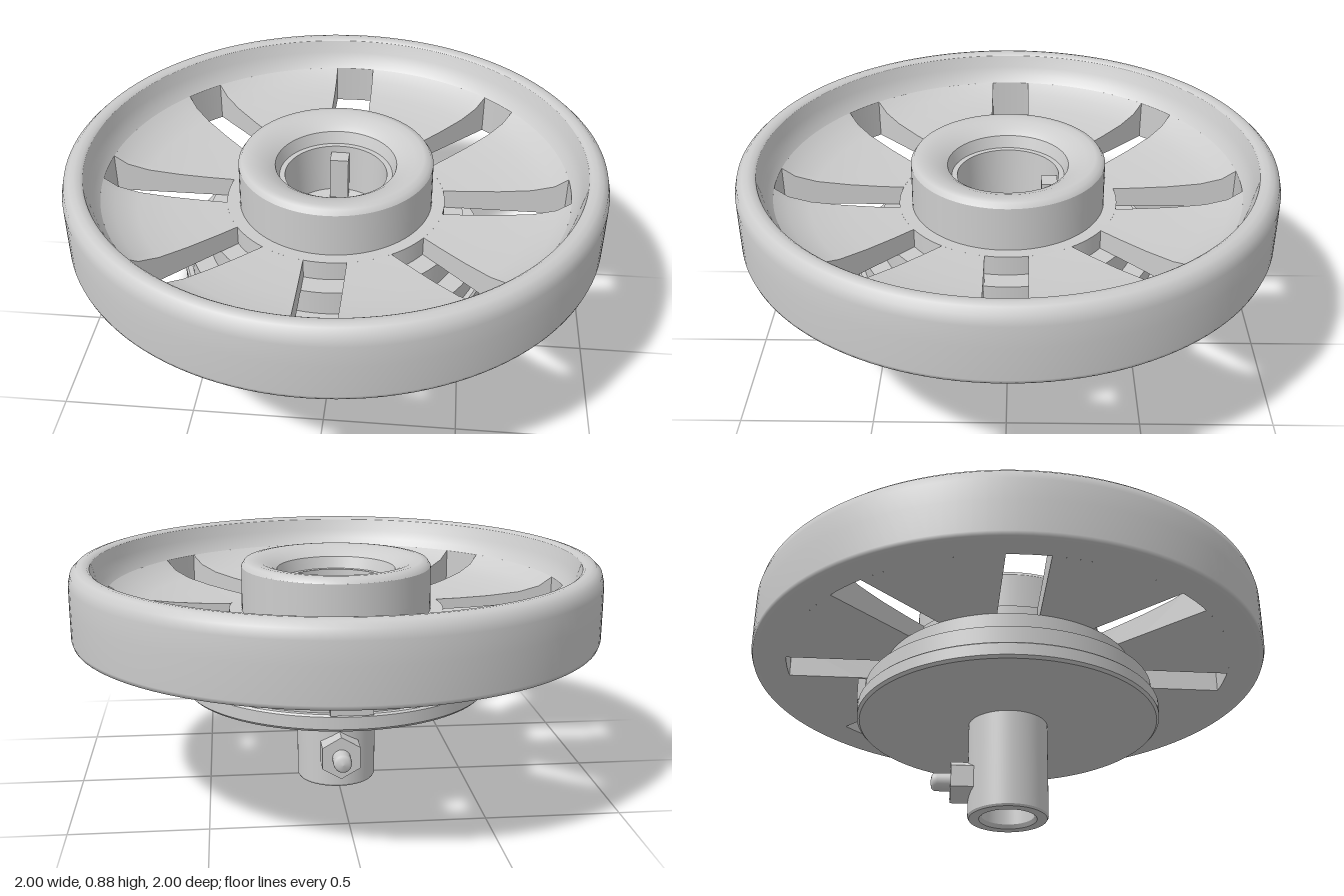
import * as THREE from 'three';

const SLOTS = 8, SLOT_HALF = 0.077, R_IN = 0.41, R_OUT = 0.87;
const metal = new THREE.MeshStandardMaterial({ color: 0xcccccc, side: THREE.DoubleSide });
metal.name = 'light grey metal';

const vecs = (list) => list.map(([x, y]) => new THREE.Vector2(x, y));
// Repeats each profile point so that its corner stays sharp
const sharp = (list) => list.flatMap((p) => [p, p]);
const lathe = (list, segments = 96) => new THREE.LatheGeometry(vecs(list), segments);

function add(parent, name, geometry) {
  const mesh = new THREE.Mesh(geometry, metal);
  mesh.name = name;
  parent.add(mesh);
  return mesh;
}

// Dished top of the web, from the rim inward, and its underside
const webTop = [[R_OUT, 0.765], [0.82, 0.73], [0.74, 0.708], [0.62, 0.695], [0.5, 0.688], [R_IN, 0.685]];
const webBottom = [[R_IN, 0.61], [0.6, 0.61], [R_OUT, 0.61]];

// One side of a web sector, its edges kept parallel to the slots
function sectorSkin(profile) {
  const geo = new THREE.LatheGeometry(vecs(profile), 14, -1, 2);
  const pos = geo.attributes.position;
  for (let i = 0; i < pos.count; i++) {
    const x = pos.getX(i), z = pos.getZ(i), r = Math.hypot(x, z);
    const a = Math.atan2(x, z) * (Math.PI / SLOTS - Math.asin(SLOT_HALF / r));
    pos.setXYZ(i, r * Math.sin(a), pos.getY(i), r * Math.cos(a));
  }
  geo.computeVertexNormals();
  return geo;
}

function buildWeb() {
  const web = new THREE.Group();
  web.name = 'slottedWeb';
  const top = sectorSkin(webTop), bottom = sectorSkin(webBottom);
  const outline = [...webTop, ...webBottom].map(
    ([r, y]) => new THREE.Vector2(Math.sqrt(r * r - SLOT_HALF * SLOT_HALF), y));
  const wall = new THREE.ShapeGeometry(new THREE.Shape(outline));
  for (let k = 0; k < SLOTS; k++) {
    const slotAngle = (k / SLOTS) * Math.PI * 2;
    const sectorAngle = slotAngle + Math.PI / SLOTS;
    add(web, 'webTop', top).rotation.y = sectorAngle;
    add(web, 'webUnderside', bottom).rotation.y = sectorAngle;
    for (const side of [-1, 1]) {
      const sideWall = wall.clone().translate(0, 0, side * SLOT_HALF);
      add(web, 'slotWall', sideWall).rotation.y = slotAngle - Math.PI / 2;
    }
  }
  return web;
}

export function createModel() {
  const model = new THREE.Group();
  model.name = 'handwheel';

  // Rim with a rounded upper lip and softly shaded outer wall
  add(model, 'rim', lathe([
    [R_OUT, 0.765], [R_OUT, 0.765], [R_OUT, 0.61], [R_OUT, 0.61],
    [0.97, 0.602], [0.995, 0.6], [1, 0.615], [1, 0.74], [0.999, 0.82],
    [0.99, 0.855], [0.97, 0.874], [0.95, 0.88], [0.93, 0.878], [0.92, 0.87],
    [0.92, 0.87], [0.905, 0.825], [0.89, 0.79], [R_OUT, 0.765],
  ], 128));
  model.add(buildWeb());

  // Raised hub with a dished top and stepped recess
  add(model, 'hub', lathe([
    [R_IN, 0.6], [R_IN, 0.685], [R_IN, 0.685], [0.362, 0.683], [0.362, 0.683],
    [0.36, 0.85], [0.36, 0.85], [0.348, 0.868], [0.325, 0.872], [0.29, 0.868],
    [0.25, 0.852], [0.225, 0.835], [0.225, 0.835], [0.21, 0.79], [0.21, 0.79],
    [0.19, 0.79], [0.19, 0.79], [0.18, 0.6], [0.18, 0.6],
    [0.1, 0.58], [0.1, 0.58], [0.085, 0.46], [0.085, 0.46], [0.02, 0.45],
  ]));
  add(model, 'recessKey', new THREE.BoxGeometry(0.07, 0.17, 0.06).translate(0, 0.68, -0.155));

  // Hollow stem, stepped flange and neck under the wheel
  add(model, 'stemAndFlange', lathe(sharp([
    [0.02, 0.45], [0.02, 0.34], [0.1, 0.32], [0.1, 0.015], [0.11, 0],
    [0.148, 0], [0.153, 0.008], [0.153, 0.38], [0.575, 0.38], [0.585, 0.39],
    [0.585, 0.435], [0.578, 0.442], [0.56, 0.442], [0.56, 0.515],
    [0.485, 0.515], [0.485, 0.61], [R_IN, 0.61],
  ])));

  // Stop block on the back of the flange
  add(model, 'stopBlock', new THREE.BoxGeometry(0.15, 0.09, 0.125).translate(0, 0.485, -0.5225));

  // Set screw on the back of the stem
  const screw = new THREE.Group();
  screw.name = 'setScrew';
  const nut = new THREE.CylinderGeometry(0.084, 0.084, 0.09, 6).toNonIndexed();
  nut.computeVertexNormals();
  add(screw, 'hexNut', nut.rotateY(Math.PI / 6).translate(0, 0.175, 0)).rotation.y = Math.PI / 6;
  add(screw, 'screwTip', lathe([
    [0.035, 0.2], [0.035, 0.27], [0.033, 0.283], [0.024, 0.291], [0, 0.295],
  ], 24));
  screw.rotation.x = -Math.PI / 2;
  screw.position.y = 0.142;
  model.add(screw);

  return model;
}
